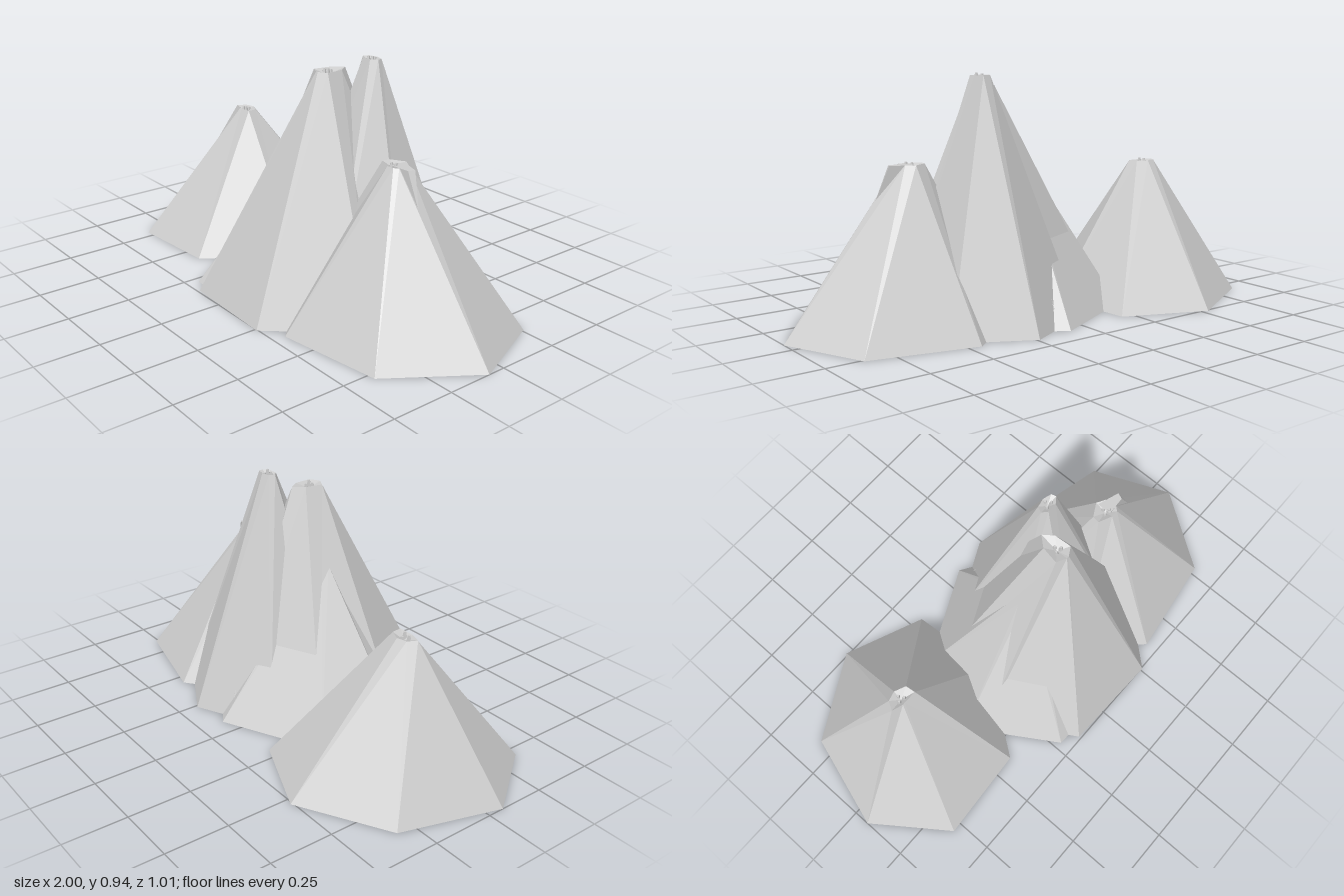
import * as THREE from 'three';
import { ConvexGeometry } from 'three/addons/geometries/ConvexGeometry.js';

const rock = new THREE.MeshStandardMaterial({ color: 0xcccccc, flatShading: true });

// Each corner is [foot x, foot z, rim x, rim z], going from +x round through +z.
const peaks = [
  { name: 'leftPeak', height: 0.55, corners: [
    [-0.17, 0.0, -0.54, -0.03], [-0.41, 0.33, -0.595, -0.03], [-0.79, 0.355, -0.605, -0.03],
    [-1.0, 0.065, -0.65, -0.045], [-0.88, -0.32, -0.63, -0.08], [-0.53, -0.51, -0.59, -0.09],
    [-0.2, -0.37, -0.545, -0.07]] },
  { name: 'rightPeak', height: 0.605, corners: [
    [1.0, 0.07, 0.53, 0.07], [0.78, 0.39, 0.515, 0.085], [0.36, 0.45, 0.485, 0.085],
    [0.15, 0.24, 0.43, 0.06], [0.17, -0.14, 0.435, 0.03], [0.45, -0.36, 0.49, 0.0],
    [0.86, -0.26, 0.525, 0.02]] },
  { name: 'frontPeak', height: 0.885, corners: [
    [0.54, 0.19, 0.18, 0.11], [0.26, 0.505, 0.145, 0.13], [-0.15, 0.49, 0.135, 0.13],
    [-0.36, 0.15, 0.097, 0.11], [-0.28, -0.18, 0.11, 0.04], [0.1, -0.36, 0.145, 0.0],
    [0.45, -0.19, 0.175, 0.04]] },
  { name: 'lowPeak', height: 0.6, corners: [
    [0.43, 0.17, 0.04, 0.05], [0.17, 0.46, 0.02, 0.07], [-0.22, 0.45, -0.01, 0.06],
    [-0.44, 0.1, -0.03, 0.045], [-0.32, -0.21, -0.02, 0.02], [0.08, -0.4, 0.01, 0.01],
    [0.39, -0.2, 0.04, 0.02]] },
  { name: 'tallPeak', height: 0.93, corners: [
    [0.57, 0.05, 0.28, -0.045], [0.4, 0.27, 0.255, -0.027], [0.07, 0.29, 0.215, -0.027],
    [-0.13, 0.05, 0.195, -0.045], [-0.07, -0.27, 0.205, -0.068], [0.24, -0.42, 0.24, -0.075],
    [0.52, -0.27, 0.275, -0.065]] },
];

// Closed loft from the foot polygon to the rim polygon, with a slightly sunken summit.
function mountainGeometry(corners, height) {
  const n = corners.length;
  const foot = corners.map(([x, z]) => new THREE.Vector3(x, 0, z));
  const rim = corners.map(([, , x, z]) => new THREE.Vector3(x, height, z));
  const middle = (ring) => ring.reduce((s, p) => s.add(p), new THREE.Vector3()).divideScalar(n);
  const floor = middle(foot);
  const summit = middle(rim);
  summit.y -= 0.02;
  const points = [];
  for (let i = 0; i < n; i++) {
    const j = (i + 1) % n;
    points.push(foot[i], rim[i], foot[j], foot[j], rim[i], rim[j]); // flank
    points.push(summit, rim[j], rim[i]); // top
    points.push(floor, foot[i], foot[j]); // underside
  }
  const geometry = new THREE.BufferGeometry().setFromPoints(points);
  geometry.computeVertexNormals();
  return { geometry, summit };
}

function addMesh(parent, name, geometry) {
  const mesh = new THREE.Mesh(geometry, rock);
  mesh.name = name;
  parent.add(mesh);
  return mesh;
}

export function createModel() {
  const model = new THREE.Group();
  model.name = 'mountainRange';

  for (const { name, height, corners } of peaks) {
    const group = new THREE.Group();
    group.name = name;
    const { geometry, summit } = mountainGeometry(corners, height);
    addMesh(group, 'slopes', geometry);

    // Little rock teeth on the summit
    for (let i = 0; i < 3; i++) {
      const a = i * 2.1 + 0.6;
      const tooth = addMesh(group, 'summitRock', new THREE.CylinderGeometry(0.005, 0.012, 0.035, 5));
      tooth.position.set(summit.x + Math.cos(a) * 0.014, height - 0.009 - i * 0.004, summit.z + Math.sin(a) * 0.014);
    }
    model.add(group);
  }

  // Overhanging crag on the right peak
  const crag = [[0.58, 0.605, 0.04], [0.57, 0.605, 0.065], [0.49, 0.605, 0.07], [0.49, 0.605, 0.01], [0.63, 0.47, 0.065]];
  addMesh(model, 'crag', new ConvexGeometry(crag.map((p) => new THREE.Vector3(...p))));

  return model;
}
